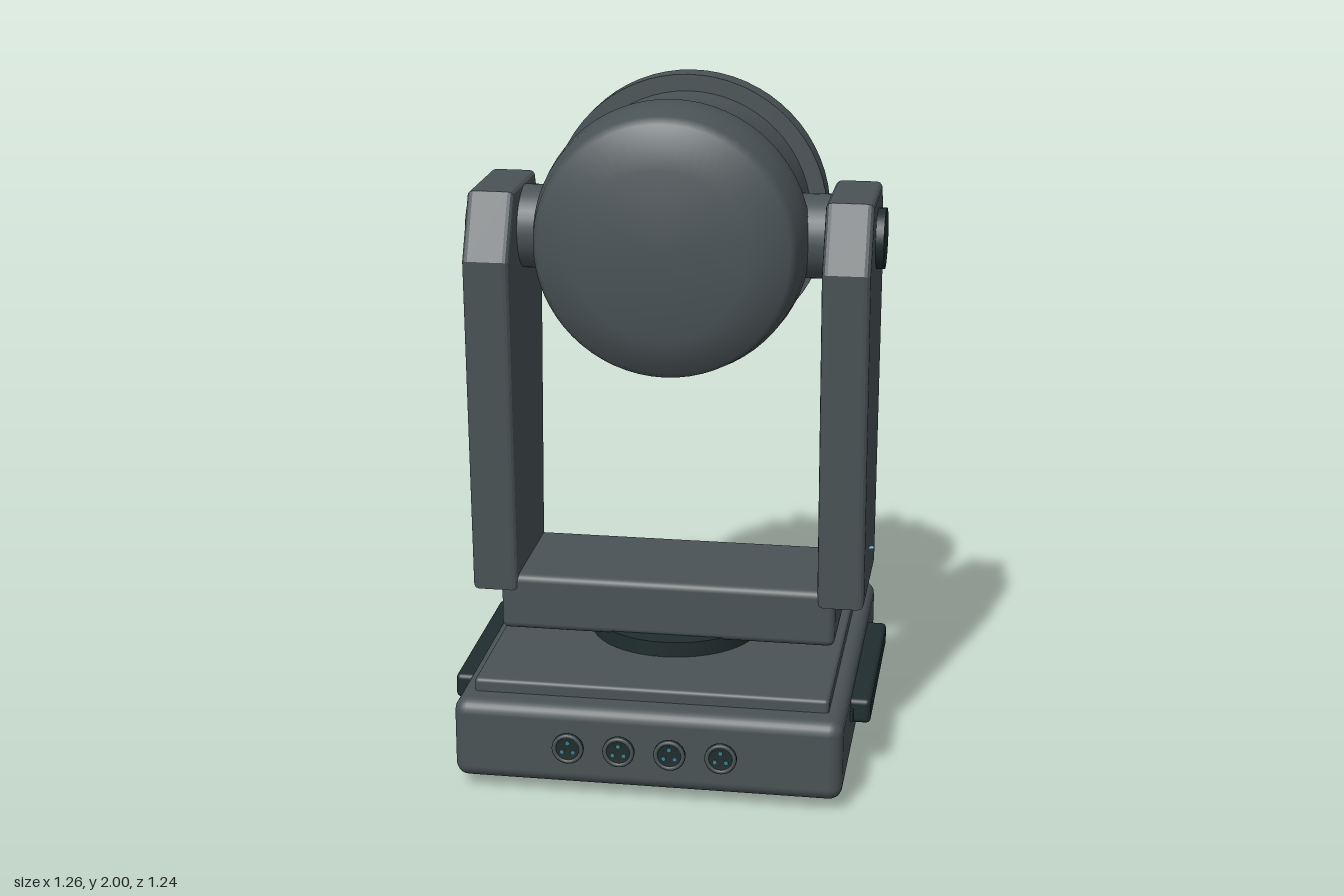
import * as THREE from 'three';
import { RoundedBoxGeometry } from 'three/addons/geometries/RoundedBoxGeometry.js';

const mat = (name, color, side = THREE.FrontSide) => {
  const m = new THREE.MeshStandardMaterial({ color, side });
  m.name = name;
  return m;
};

export function createModel() {
  const root = new THREE.Group();
  root.name = 'movingHeadLight';
  const grey = mat('housing grey', 0x4a5356);
  const black = mat('trim black', 0x202d2e);
  const teal = mat('glass teal', 0x3d7f8e);

  const add = (name, geo, material, x = 0, y = 0, z = 0, parent = root) => {
    const m = new THREE.Mesh(geo, material);
    m.name = name;
    m.position.set(x, y, z);
    parent.add(m);
    return m;
  };
  const rbox = (w, h, d, r) => new RoundedBoxGeometry(w, h, d, 3, r);
  const box = (w, h, d) => new THREE.BoxGeometry(w, h, d);
  const cylX = (r, l) => new THREE.CylinderGeometry(r, r, l, 32).rotateZ(Math.PI / 2);
  const cylZ = (r, l, n = 32) => new THREE.CylinderGeometry(r, r, l, n).rotateX(Math.PI / 2);
  // lathe about z, points are [radius, z] from back to front
  const latheZ = (pts, n = 64) =>
    new THREE.LatheGeometry(pts.map(p => new THREE.Vector2(...p)), n).rotateX(Math.PI / 2);

  // Base
  add('base', rbox(1.146, 0.246, 1.176, 0.04), grey, 0, 0.158, 0);
  add('basePlate', rbox(1.05, 0.08, 1.01, 0.012), grey, 0, 0.28, 0);
  add('turntable', new THREE.CylinderGeometry(0.26, 0.26, 0.05, 48), black, 0, 0.342, 0);
  for (const x of [-0.435, 0.435]) for (const z of [-0.4, 0.4])
    add('foot', new THREE.CylinderGeometry(0.055, 0.055, 0.04, 24), black, x, 0.02, z);

  // Front sockets with three pins each
  for (let i = 0; i < 4; i++) {
    const socket = new THREE.Group();
    socket.name = 'socket';
    socket.position.set(-0.226 + i * 0.15, 0.163, 0);
    root.add(socket);
    add('socketBody', latheZ([[0.036, 0.58], [0.036, 0.595], [0.047, 0.603], [0.047, 0.612],
      [0.04, 0.616], [0.036, 0.612], [0, 0.612]], 28), black, 0, 0, 0, socket);
    add('socketRim', new THREE.TorusGeometry(0.04, 0.006, 8, 28), grey, 0, 0, 0.611, socket);
    for (let k = 0; k < 3; k++) {
      const a = Math.PI / 2 + k * Math.PI * 2 / 3;
      add('pin', cylZ(0.007, 0.006, 10), teal,
        Math.cos(a) * 0.019, Math.sin(a) * 0.019, 0.613, socket);
    }
  }

  // Rear control panel
  add('controlPanel', box(0.535, 0.17, 0.024), black, 0, 0.168, -0.594);
  add('screen', box(0.22, 0.108, 0.02), teal, -0.09, 0.168, -0.615);
  for (let i = 0; i < 4; i++)
    add('button', box(0.028, 0.026, 0.02), grey, 0.072 + i * 0.043, 0.18, -0.612);

  // Yoke
  add('yokeBase', rbox(1.02, 0.176, 0.4, 0.022), grey, 0, 0.444, 0);
  const outline = [[-0.2, 0.485], [0.207, 0.485], [0.25, 1.52], [0.155, 1.71], [-0.155, 1.71], [-0.242, 1.52]];
  const armGeo = new THREE.ExtrudeGeometry(
    new THREE.Shape(outline.map(p => new THREE.Vector2(...p))),
    { depth: 0.104, bevelSize: 0.018, bevelThickness: 0.018, bevelOffset: -0.018, bevelSegments: 3 }
  ).translate(0, 0, -0.052).rotateY(-Math.PI / 2);
  for (const s of [-1, 1]) {
    add('yokeArm', armGeo, grey, s * 0.526, 0, 0);
    add('pivot', cylX(0.125, 0.17), grey, s * 0.4, 1.575, 0);
    add('pivotCap', cylX(0.09, 0.04), black, s * 0.6, 1.575, 0);
    add('indicator', cylX(0.007, 0.03), teal, s * 0.595, 0.62, 0.03);
    add('handle', rbox(0.08, 0.076, 0.62, 0.015), black, s * 0.592, 0.203, 0);
    add('handleLatch', box(0.03, 0.034, 0.03), black, s * 0.567, 0.195, 0.315);
  }

  // Head, turned about z
  const head = new THREE.Group();
  head.name = 'head';
  head.position.y = 1.575;
  root.add(head);
  add('headShell', latheZ([[0.375, -0.25], [0.373, -0.17], [0.376, -0.08], [0.39, 0], [0.408, 0.08],
    [0.402, 0.15], [0.385, 0.23], [0.368, 0.26], [0.25, 0.317], [0, 0.317]]), grey, 0, 0, 0, head);
  add('frontRing', cylZ(0.425, 0.085, 64), grey, 0, 0, -0.2825, head);
  add('ringStep', cylZ(0.38, 0.03, 64), grey, 0, 0, -0.323, head);
  add('lens', cylZ(0.318, 0.008, 64), teal, 0, 0, -0.341, head);
  add('lensRing', new THREE.TorusGeometry(0.316, 0.018, 12, 64), grey, 0, 0, -0.368, head);

  // Radial grille in front of the lens
  const blades = 16;
  for (let i = 0; i < blades; i++) {
    const a = (i / blades) * Math.PI * 2;
    const blade = add('grilleBlade', box(0.29, 0.026, 0.038), grey,
      Math.cos(a) * 0.188, Math.sin(a) * 0.188, -0.446, head);
    blade.rotation.z = a;
  }
  add('grilleHub', latheZ([[0.03, -0.465], [0.052, -0.465], [0.052, -0.427], [0.03, -0.427],
    [0.03, -0.465]], 28), grey, 0, 0, 0, head);

  return root;
}
